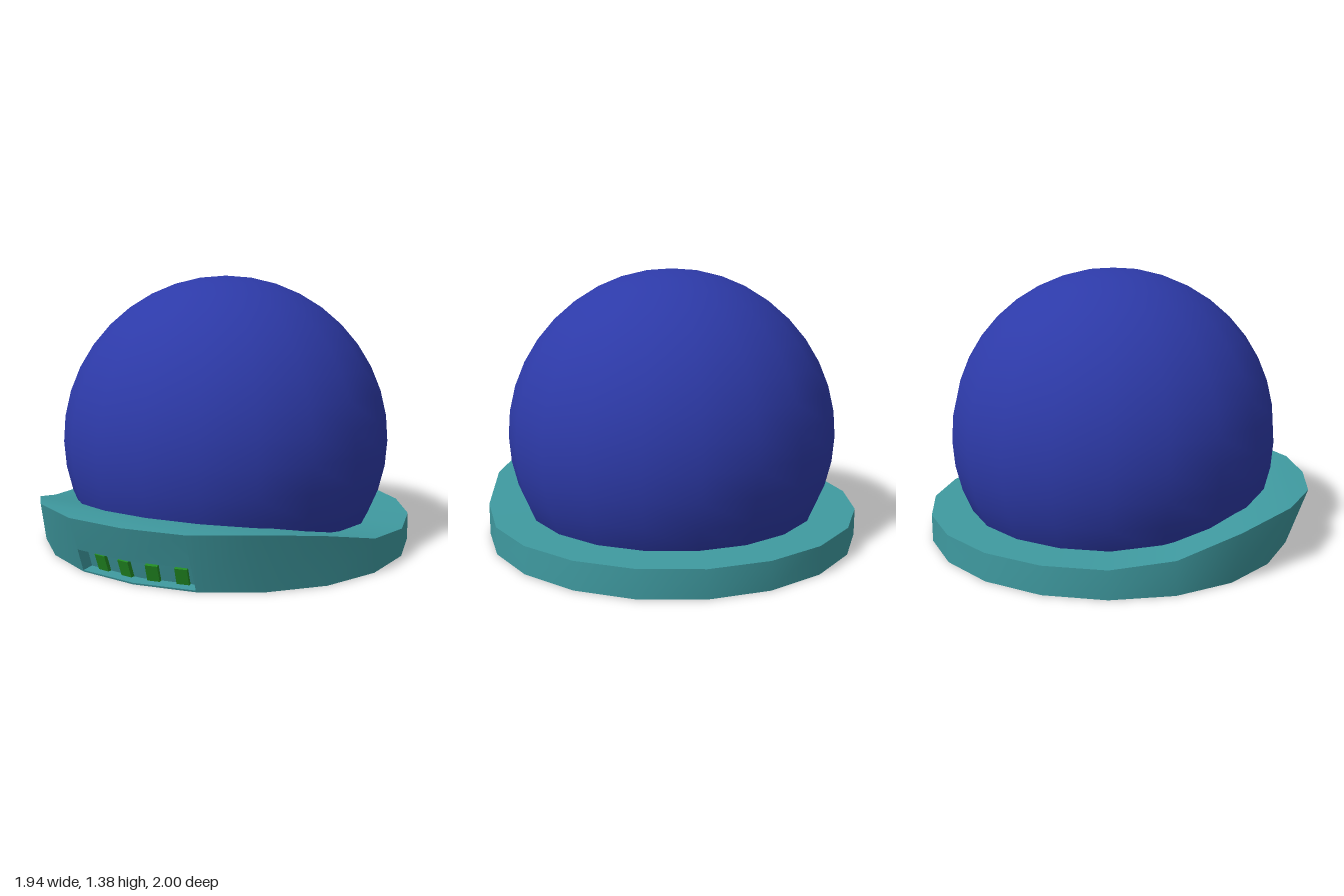
import * as THREE from 'three';
import { toCreasedNormals } from 'three/addons/utils/BufferGeometryUtils.js';

const SIDES = 20;
const CENTRE_Z = -0.03;
const RADIUS = 0.97;

// Rim height and forward lean, from the front corner round to the side
const HEIGHTS = [0.285, 0.285, 0.285, 0.24, 0.165];
const LEAN_TOP = [0.06, 0.075, 0.075, 0.03, 0];
const LEAN_BOTTOM = [-0.035, -0.028, -0.025, -0.01, 0];

// Point on the base wall: corner i (0 = front), t from bottom to rim, inset towards the back
function wallPoint(i, t, inset = 0) {
  const k = ((i % SIDES) + SIDES) % SIDES;
  const step = Math.min(k, SIDES - k);
  const a = (k / SIDES) * Math.PI * 2;
  const lean = THREE.MathUtils.lerp(LEAN_BOTTOM[step] ?? 0, LEAN_TOP[step] ?? 0, t);
  return new THREE.Vector3(
    RADIUS * Math.sin(a),
    (HEIGHTS[step] ?? 0.14) * t,
    RADIUS * Math.cos(a) + CENTRE_Z + lean - inset
  );
}

function baseGeometry() {
  const pos = [];
  const tri = (a, b, c) => {
    const area = b.clone().sub(a).cross(c.clone().sub(a)).length();
    if (area > 1e-7) for (const p of [a, b, c]) pos.push(p.x, p.y, p.z);
  };
  const quad = (a, b, c, d) => { tri(a, b, c); tri(a, c, d); };

  // Outer wall; the two front facets carry a recessed slot above a thin lip
  const LOW = 0.03, HIGH = 0.42, DEPTH = 0.07;
  const plain = [[0, 0], [1, 0]];
  const slotted = [[0, 0], [LOW, 0], [LOW, DEPTH], [HIGH, DEPTH], [HIGH, 0], [1, 0]];
  for (let i = -1; i < SIDES - 1; i++) {
    const profile = i < 1 ? slotted : plain;
    for (let k = 0; k < profile.length - 1; k++) {
      const p = profile[k], q = profile[k + 1];
      quad(wallPoint(i, ...p), wallPoint(i + 1, ...p), wallPoint(i + 1, ...q), wallPoint(i, ...q));
    }
  }

  // Slot ends
  for (const i of [1, -1]) {
    const c = [[LOW, DEPTH], [LOW, 0], [HIGH, 0], [HIGH, DEPTH]].map((p) => wallPoint(i, ...p));
    if (i < 0) c.reverse();
    quad(...c);
  }

  // Top and underside, in strips across from side to side
  for (let i = 0; i < SIDES / 2; i++) {
    const strip = (t) => [i, i + 1, -i - 1, -i].map((n) => wallPoint(n, t));
    quad(...strip(1));
    quad(...strip(0).reverse());
  }

  const geo = new THREE.BufferGeometry();
  geo.setAttribute('position', new THREE.Float32BufferAttribute(pos, 3));
  return toCreasedNormals(geo, Math.PI / 6);
}

export function createModel() {
  const model = new THREE.Group();
  model.name = 'domeOnBase';
  const add = (name, geo, color) => {
    const mesh = new THREE.Mesh(geo, new THREE.MeshStandardMaterial({ color }));
    mesh.name = name;
    model.add(mesh);
    return mesh;
  };

  add('base', baseGeometry(), 0x3f9aa0);

  // Large dome, ending inside the base
  const dome = add('dome', new THREE.SphereGeometry(0.855, 20, 14, 0, Math.PI * 2, 0, Math.PI * 0.7), 0x2d3aa8);
  dome.position.set(0, 0.525, -0.025);

  // Small lights inside the front slot
  for (const side of [1, -1]) {
    for (const x of [0.072, 0.212]) {
      const light = add('slotLight', new THREE.BoxGeometry(0.06, 0.09, 0.03), 0x228b22);
      light.rotation.order = 'YXZ';
      light.rotation.set(0.33, side * 0.14, 0);
      light.position.set(side * x, 0.05, 0.858 - 0.15 * x);
    }
  }
  return model;
}
